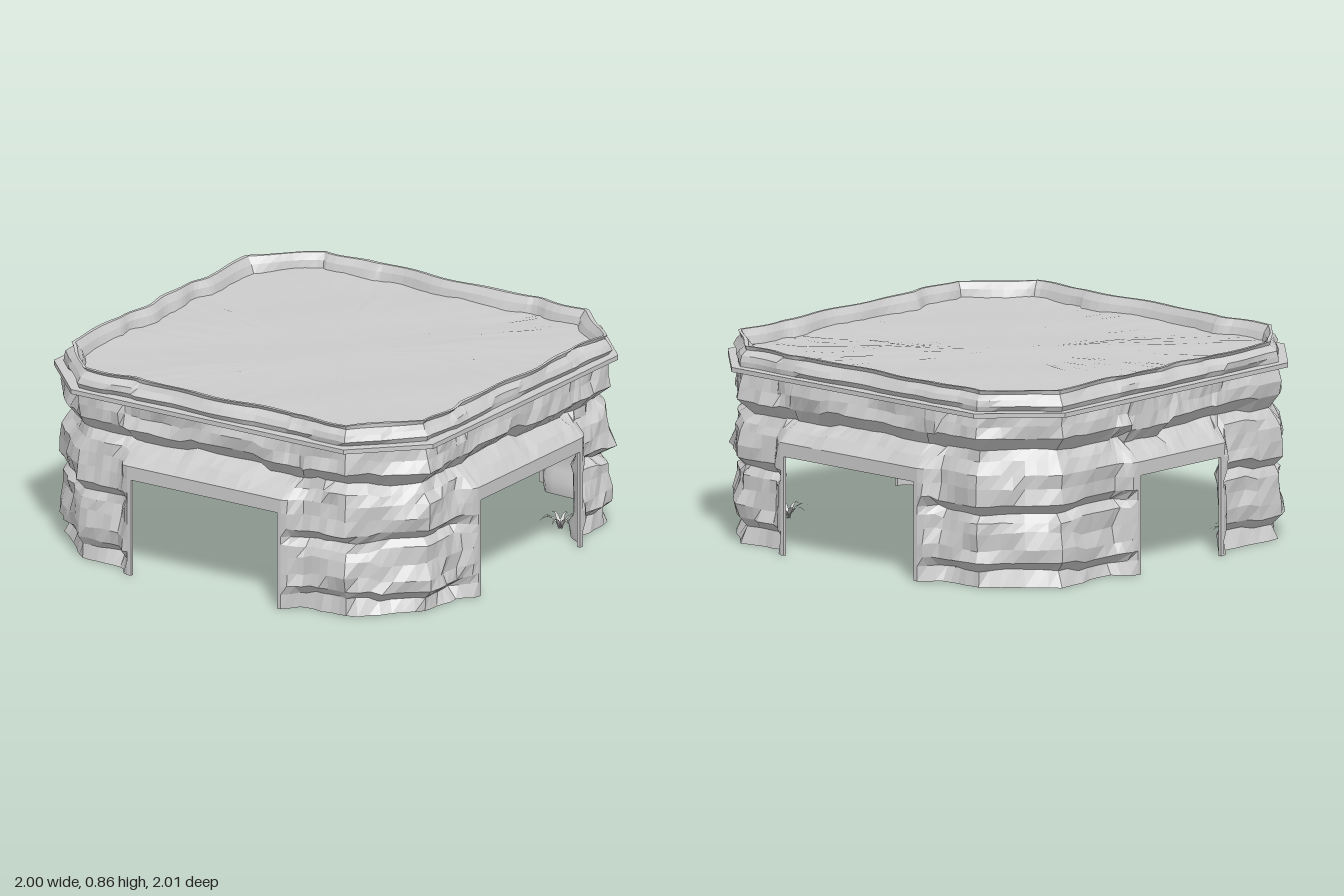
import * as THREE from 'three';

const H = 0.93, C = 0.68;             // octagon half-width and corner position
const DOOR_TOP = 0.43;
const DOORS = [0.375, 0.375, 0.375, 0.25]; // half-widths: front, +x, back, -x

// repeatable noise in -1..1
const hash = (i, j) => {
  const v = Math.sin(i * 127.1 + j * 311.7) * 43758.5453;
  return (v - Math.floor(v)) * 2 - 1;
};
const mat = (opts = {}) => new THREE.MeshStandardMaterial({ color: 0xcccccc, roughness: 0.9, ...opts });

// perimeter columns: base point, outward mitred normal, flare towards the doorway
function makeColumns() {
  const cols = [];
  const m = Math.tan(Math.PI / 8);
  for (let k = 0; k < 4; k++) {
    const a = k * Math.PI / 2, door = DOORS[k];
    const add = (t, h, nt, nh, flare, open) => cols.push({
      x: t * Math.cos(a) + h * Math.sin(a), z: -t * Math.sin(a) + h * Math.cos(a),
      nx: nt * Math.cos(a) + nh * Math.sin(a), nz: -nt * Math.sin(a) + nh * Math.cos(a), flare, open
    });
    const stops = [-C, -door - 0.1, -door - 0.02, -door, door, door + 0.02, door + 0.1, C];
    const parts = [5, 3, 1, 14, 1, 3, 5];
    parts.forEach((n, p) => {
      for (let i = 0; i < n; i++) {
        const t = stops[p] + (stops[p + 1] - stops[p]) * i / n;
        const flare = 1 - THREE.MathUtils.smoothstep(Math.abs(t), door + 0.019, door + 0.1);
        add(t, H, t === -C ? -m : 0, 1, flare, p === 3);
      }
    });
    for (let i = 0; i < 7; i++) { // chamfered corner
      const f = i / 7;
      add(C + (H - C) * f, H - (H - C) * f, i ? Math.SQRT1_2 : m, i ? Math.SQRT1_2 : 1, 0, false);
    }
  }
  return cols;
}

const cols = makeColumns(), N = cols.length;
const at = (i, off, y) => {
  const c = cols[i % N];
  return [c.x + c.nx * off, y, c.z + c.nz * off];
};
// smooth noise that closes on itself round the perimeter
const wave = (i, j) => {
  const a = i * Math.PI * 2 / N;
  return Math.sin(a * 11 + j * 1.9) * 0.6 + Math.sin(a * 23 - j * 2.7) * 0.4;
};

function geometry(pos, index) {
  const g = new THREE.BufferGeometry();
  g.setAttribute('position', new THREE.Float32BufferAttribute(pos, 3));
  g.setIndex(index);
  g.computeVertexNormals();
  return g;
}

// closed band of quads round the perimeter; point(i, j) gives each corner
function band(rows, point, keep = () => true, flip = false) {
  const pos = [], index = [];
  for (let j = 0; j < rows; j++) for (let i = 0; i < N; i++) pos.push(...point(i, j));
  for (let j = 0; j < rows - 1; j++) for (let i = 0; i < N; i++) {
    if (!keep(i, j)) continue;
    const n = (i + 1) % N, a = j * N + i, b = j * N + n, c = b + N, d = a + N;
    index.push(...(flip ? [a, c, b, a, d, c] : [a, b, c, a, c, d]));
  }
  return geometry(pos, index);
}

// rock strata as [height, offset, height jitter]
const STRATA = [
  [0, 0.0, 0], [0.065, -0.025, 0.017], [0.105, 0.022, 0.015], [0.16, 0.018, 0.02], [0.23, 0.005, 0.02],
  [0.29, 0.0, 0.015], [0.325, -0.03, 0.015], [0.37, 0.022, 0.015], [DOOR_TOP, 0.018, 0], [0.49, 0.01, 0],
  [0.535, -0.01, 0.014], [0.575, -0.04, 0.018], [0.635, 0.018, 0.018], [0.69, 0.008, 0.014], [0.752, 0.0, 0]
];
const DOOR_ROW = 8;
const wallKeep = (i, j) => j >= 0 && j < STRATA.length - 1 && !(cols[(i + N) % N].open && j < DOOR_ROW);

function flareAt(i, y) {
  return cols[i].flare * (1 - THREE.MathUtils.smoothstep(y, 0.49, 0.57));
}
function outerPoint(i, j) {
  const [y, o, jit] = STRATA[j];
  const f = flareAt(i, y);
  const rough = o + 0.01 * hash(Math.floor(i / 3), j) + 0.006 * hash(i, j + 40) + 0.008 * wave(i, j);
  // whole ledges step up and down in blocks
  const step = hash(Math.floor(i / 7), Math.floor(y * 4) + 90);
  return at(i, 0.07 * f + rough * (1 - f ** 3), y + jit * (step + 0.3 * wave(i, j)) * (1 - f));
}
function innerPoint(i, j) {
  const [y, o] = STRATA[j];
  const soft = -0.04 + o * 0.5 + 0.008 * wave(i, 0) * Math.cos(y * 9);
  return at(i, soft + (0.055 - soft) * flareAt(i, y), y);
}

// thin strips closing the shell at the doorways and the ground
function shellEdges() {
  const pos = [], index = [];
  const strip = (i0, j0, i1, j1) => {
    const b = pos.length / 3;
    pos.push(...outerPoint(i0 % N, j0), ...outerPoint(i1 % N, j1), ...innerPoint(i1 % N, j1), ...innerPoint(i0 % N, j0));
    index.push(b, b + 2, b + 1, b, b + 3, b + 2);
  };
  for (let j = 0; j < STRATA.length - 1; j++) for (let i = 0; i < N; i++) {
    if (!wallKeep(i, j)) continue;
    if (!wallKeep(i, j - 1)) strip(i, j, i + 1, j);
    if (!wallKeep(i + 1, j)) strip(i + 1, j, i + 1, j + 1);
    if (!wallKeep(i - 1, j)) strip(i, j + 1, i, j);
  }
  return geometry(pos, index);
}

// raised rocky lip as [offset, height, waviness]; its top is level
const RIM = [
  [0.0, 0.765, 0.006], [0.015, 0.79, 0.01], [0.0, 0.815, 0.014], [-0.022, 0.838, 0.014],
  [-0.012, 0.855, 0.016], [-0.026, 0.855, 0.016], [-0.046, 0.825, 0.02], [-0.06, 0.78, 0.024]
];
function rimPoint(i, j) {
  const [o, y, w] = RIM[j];
  const rough = j < 4 ? 0.008 * hash(Math.floor(i / 4), j + 60) : 0;
  return at(i, o + w * wave(i, j * 0.12) + rough, y);
}

// gently uneven floor inside the lip
function floorPoint(i, j) {
  const s = 1 - j / 10;
  const [x, , z] = at(i, -0.035, 0);
  const bump = 0.005 * Math.sin(x * s * 9 + 1) * Math.cos(z * s * 8) + 0.003 * hash(i, j) * s;
  return [x * s, 0.79 + bump, z * s];
}

// octagonal ledge slab
function slab() {
  const h = 0.975, c = 0.7;
  const shape = new THREE.Shape([[-c, h], [-h, c], [-h, -c], [-c, -h], [c, -h], [h, -c], [h, c], [c, h]]
    .map(p => new THREE.Vector2(...p)));
  return new THREE.ExtrudeGeometry(shape, { depth: 0.02, bevelEnabled: false }).rotateX(-Math.PI / 2).translate(0, 0.748, 0);
}

// one arching, tapering leaf
function leaf(length) {
  const g = new THREE.PlaneGeometry(0.022, 1, 1, 5), p = g.attributes.position;
  for (let i = 0; i < p.count; i++) {
    const f = p.getY(i) + 0.5;
    p.setXYZ(i, p.getX(i) * (1 - 0.9 * f), length * (1.5 * f - 1.1 * f * f), length * 0.8 * f);
  }
  g.computeVertexNormals();
  return g;
}

export function createModel() {
  const model = new THREE.Group();
  const add = (name, geo, material, parent = model) => {
    const mesh = new THREE.Mesh(geo, material);
    mesh.name = name;
    parent.add(mesh);
    return mesh;
  };
  const rock = mat({ flatShading: true }), smooth = mat();
  const thin = mat({ side: THREE.DoubleSide });

  add('rockWall', band(STRATA.length, outerPoint, wallKeep), rock);
  add('innerWall', band(STRATA.length, innerPoint, wallKeep, true), smooth);
  add('doorwayEdges', shellEdges(), mat({ flatShading: true, side: THREE.DoubleSide }));
  add('ledgeSlab', slab(), rock);
  add('rockRim', band(RIM.length, rimPoint), rock);
  add('topFloor', band(11, floorPoint), smooth);

  // a grass tuft inside each leg, beside the doorway
  for (let k = 0; k < 4; k++) {
    const tuft = new THREE.Group();
    tuft.name = 'grassTuft';
    tuft.position.set(0.49, 0.02, 0.82).applyAxisAngle(new THREE.Vector3(0, 1, 0), k * Math.PI / 2);
    for (let i = 0; i < 8; i++) {
      add('leaf', leaf(0.1 + 0.02 * hash(i, k)), thin, tuft).rotation.y = i * Math.PI / 4 + k;
    }
    model.add(tuft);
  }

  // vines hanging inside one leg
  [[-0.84, 0.53, 0.25], [-0.83, 0.57, 0.16]].forEach(([x, z, len]) => {
    add('vine', new THREE.CylinderGeometry(0.005, 0.003, len, 5), smooth).position.set(x, 0.65 - len / 2, z);
  });
  return model;
}
